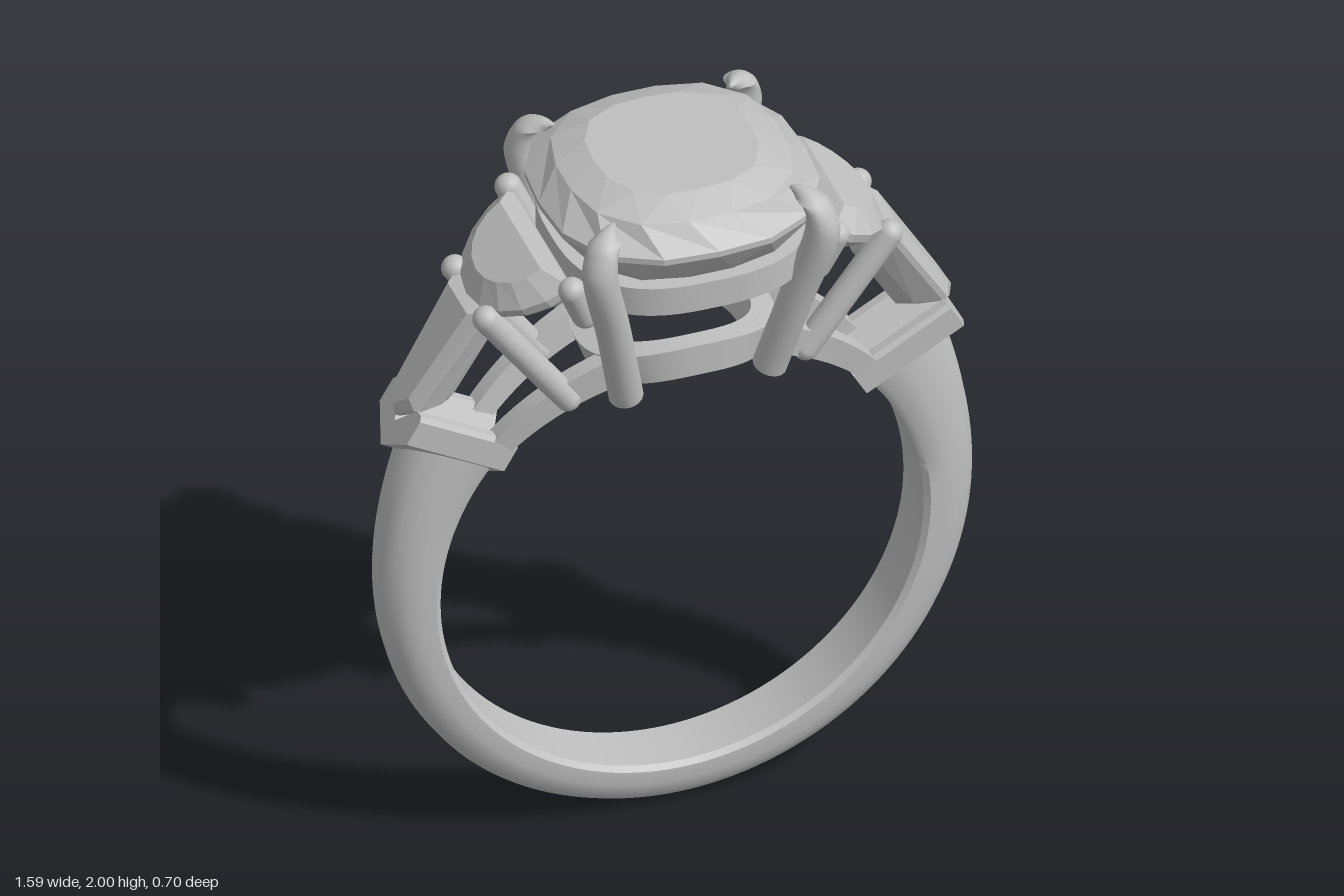
import * as THREE from 'three';
import { toCreasedNormals } from 'three/addons/utils/BufferGeometryUtils.js';

const V = (x, y, z) => new THREE.Vector3(x, y, z);
const FINGER_Y = 0.775, FINGER_R = 0.645;

// Skin a list of equal-length rings; ends are capped, or joined when closed.
function loft(rings, { closed = false, crease = 0.7 } = {}) {
  const n = rings[0].length, m = rings.length, tris = [];
  for (let i = 0; i < (closed ? m : m - 1); i++) {
    const a = rings[i], b = rings[(i + 1) % m];
    for (let j = 0; j < n; j++) {
      const k = (j + 1) % n;
      tris.push([a[j], a[k], b[j]], [a[k], b[k], b[j]]);
    }
  }
  if (!closed) {
    for (let j = 1; j < n - 1; j++) {
      tris.push([rings[0][0], rings[0][j + 1], rings[0][j]]);
      tris.push([rings[m - 1][0], rings[m - 1][j], rings[m - 1][j + 1]]);
    }
  }
  // a negative volume means the skin is inside out
  let volume = 0;
  for (const [a, b, c] of tris) volume += a.dot(b.clone().cross(c));
  if (volume < 0) tris.forEach((t) => t.reverse());
  const g = new THREE.BufferGeometry().setFromPoints(tris.flat());
  g.computeVertexNormals();
  return crease ? toCreasedNormals(g, crease) : g;
}

// Rounded-square outline with half sizes a and b, as [x, z] pairs
function cushion(a, b, count, offset = 0, power = 2.7) {
  return Array.from({ length: count }, (_, i) => {
    const t = ((i + offset) / count) * Math.PI * 2;
    const c = Math.cos(t), s = Math.sin(t);
    const r = (Math.abs(c) ** power + Math.abs(s) ** power) ** (-1 / power);
    return [a * r * c, b * r * s];
  });
}

// Wrap a flat (x, z) position round the finger at radius r
const wrap = (x, z, r) => V(Math.sin(x / 0.69) * r, FINGER_Y + Math.cos(x / 0.69) * r, z);

// Round wire through points with a radius at each point
function wire(points, radii) {
  const curve = new THREE.CatmullRomCurve3(points);
  const steps = 28, frames = curve.computeFrenetFrames(steps);
  const rings = [];
  for (let i = 0; i <= steps; i++) {
    const t = i / steps, f = t * (points.length - 1);
    const k = Math.min(Math.floor(f), points.length - 2);
    const r = THREE.MathUtils.lerp(radii[k], radii[k + 1], f - k);
    const p = curve.getPoint(t);
    rings.push(Array.from({ length: 16 }, (_, j) => {
      const a = (j / 16) * Math.PI * 2;
      return p.clone().addScaledVector(frames.normals[i], r * Math.cos(a))
        .addScaledVector(frames.binormals[i], r * Math.sin(a));
    }));
  }
  return loft(rings);
}

// Gem whose outline lies in a tilted plane: u runs outward and down, n faces out
function tiltedGem(outline, origin, u, centre, layers) {
  u.normalize();
  const n = V(-u.y, u.x, 0);
  return loft(layers.map(([h, su, sv]) => outline.map(([pu, pv]) =>
    origin.clone().addScaledVector(u, centre + (pu - centre) * su)
      .addScaledVector(n, h).add(V(0, 0, pv * sv)))), { crease: 0 });
}

export function createModel() {
  const root = new THREE.Group();
  root.name = 'threeStoneRing';
  const silver = new THREE.MeshStandardMaterial({ color: 0xbfbfbf });
  silver.name = 'silver';
  const add = (parent, name, geometry) => {
    const mesh = new THREE.Mesh(geometry, silver);
    mesh.name = name;
    parent.add(mesh);
    return mesh;
  };
  const rod = (parent, name, a, b, r) => {
    const d = b.clone().sub(a);
    const mesh = add(parent, name, new THREE.CapsuleGeometry(r, d.length(), 8, 18));
    mesh.position.copy(a).addScaledVector(d, 0.5);
    mesh.quaternion.setFromUnitVectors(V(0, 1, 0), d.normalize());
  };

  // Shank: D-shaped section thickening towards the shoulders
  const half = [[0.075, 0], [0.088, 0.1], [0.088, 0.4], [0.08, 0.62], [0.064, 0.82], [0.036, 0.96]];
  const section = [...half, [0, 1], ...half.map(([z, t]) => [-z, t]).reverse()];
  const shank = [];
  for (let i = 0; i <= 96; i++) {
    const s = i / 48 - 1, thick = 0.13 + 0.105 * Math.abs(s) ** 5.6;
    shank.push(section.map(([z, t]) => {
      const a = THREE.MathUtils.degToRad(-90 + s * (131 - 6 * t));
      const r = FINGER_R + thick * t;
      return V(Math.cos(a) * r, FINGER_Y + Math.sin(a) * r, z);
    }));
  }
  add(root, 'shank', loft(shank));

  // Centre stone: table, crown, girdle, pavilion, culet
  const layers = [[2.0, 0.21, 0], [1.965, 0.292, 0.5], [1.902, 0.355, 0], [1.885, 0.355, 0],
    [1.8, 0.298, 0.5], [1.7, 0.218, 0], [1.515, 0.003, 0]];
  add(root, 'centreStone', loft(layers.map(([y, r, off]) =>
    cushion(r, r * 0.985, 16, off).map(([x, z]) => V(x, y, z))), { crease: 0 }));

  // Upper basket under the centre stone
  const outer = cushion(0.325, 0.325, 64), inner = cushion(0.27, 0.27, 64);
  add(root, 'basketRing', loft(outer.map(([x, z], i) => {
    const [p, q] = inner[i];
    return [V(x, 1.795, z), V(x, 1.712, z), V(p, 1.712, q), V(p, 1.795, q)];
  }), { closed: true }));

  // Lower gallery ring curved over the finger
  const wide = cushion(0.25, 0.205, 64, 0, 2.3), narrow = cushion(0.19, 0.15, 64, 0, 2.3);
  add(root, 'galleryRing', loft(wide.map(([x, z], i) => {
    const [p, q] = narrow[i];
    return [wrap(x, z, 0.735), wrap(x, z, FINGER_R), wrap(p, q, FINGER_R), wrap(p, q, 0.735)];
  }), { closed: true }));

  // Claws holding the centre stone
  for (const sx of [-1, 1]) for (const sz of [-1, 1]) {
    const P = (x, y, z) => V(x * sx, y, z * sz);
    add(root, 'centreClaw', wire(
      [P(0.192, 1.395, 0.19), P(0.245, 1.64, 0.247), P(0.298, 1.875, 0.292), P(0.279, 1.94, 0.272), P(0.235, 1.962, 0.222)],
      [0.045, 0.045, 0.046, 0.042, 0.004]));
  }

  // One shoulder on +x, then the same turned half round for -x
  const shoulder = new THREE.Group();
  shoulder.name = 'leftShoulder';

  const moon = Array.from({ length: 11 }, (_, i) => {
    const a = -Math.PI / 2 + (i / 10) * Math.PI;
    return [0.235 * Math.cos(a), 0.225 * Math.sin(a)];
  });
  add(shoulder, 'halfMoonStone', tiltedGem(moon, V(0.345, 1.785, 0), V(0.19, -0.12, 0), 0.09,
    [[0.055, 0.6, 0.68], [0.012, 1, 1], [-0.012, 1, 1], [-0.08, 0.65, 0.65], [-0.125, 0.15, 0.3]]));

  const baguette = [[0, -0.1], [0.33, -0.066], [0.385, 0], [0.33, 0.066], [0, 0.1]];
  add(shoulder, 'baguetteStone', tiltedGem(baguette, V(0.535, 1.665, 0), V(0.2, -0.33, 0), 0.18,
    [[0.03, 0.86, 0.7], [0.008, 1, 1], [-0.008, 1, 1], [-0.07, 0.8, 0.65], [-0.11, 0.6, 0.1]]));

  // V-shaped end seat, running inward onto the shank
  const chevron = [[0, 1], [-0.1, 0.55], [-0.1, 0.08], [-0.09, 0], [-0.065, 0], [0, 0.5],
    [0.065, 0], [0.09, 0], [0.1, 0.08], [0.1, 0.55]];
  add(shoulder, 'endSeat', loft([0, 1].map((k) => chevron.map(([z, e]) =>
    V(0.703 + 0.075 * e - 0.26 * k, 1.385 - 0.13 * e - 0.147 * k, z))), { crease: 0.5 }));

  for (const s of [-1, 1]) {
    rod(shoulder, 'baguetteClaw', V(0.318, 1.36, 0.108 * s), V(0.538, 1.665, 0.115 * s), 0.035);
    rod(shoulder, 'halfMoonClaw', V(0.31, 1.69, 0.215 * s), V(0.352, 1.79, 0.235 * s), 0.035);

    // Rail between the gallery ring and the end seat
    const rail = [];
    for (let i = 0; i <= 12; i++) {
      const t = i / 12, x = 0.17 + 0.39 * t, z = s * (0.125 - 0.05 * t), top = 0.735 - 0.03 * t;
      rail.push([wrap(x, z - 0.024, FINGER_R), wrap(x, z + 0.024, FINGER_R),
        wrap(x, z + 0.024, top), wrap(x, z - 0.024, top)]);
    }
    add(shoulder, 'shoulderRail', loft(rail));
  }
  root.add(shoulder);
  const other = shoulder.clone();
  other.name = 'rightShoulder';
  other.rotation.y = Math.PI;
  root.add(other);
  return root;
}
